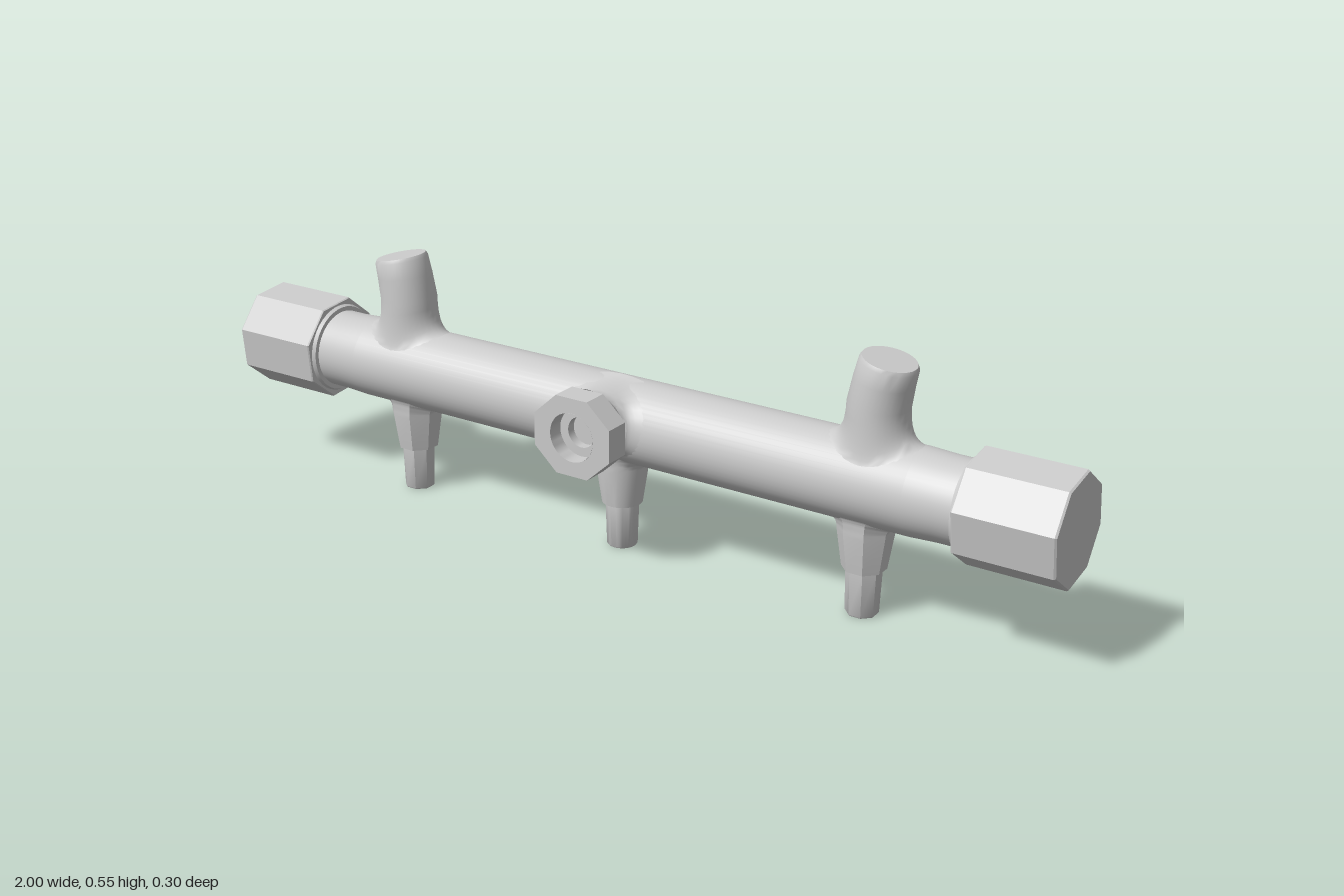
import * as THREE from 'three';
import { toCreasedNormals } from 'three/addons/utils/BufferGeometryUtils.js';

const AXIS_Y = 0.29, AXIS_Z = -0.035, PIPE_R = 0.09;
const smooth = new THREE.MeshStandardMaterial({ color: 0xcccccc, side: THREE.DoubleSide });
const faceted = new THREE.MeshStandardMaterial({ color: 0xcccccc, flatShading: true });

function part(name, geometry, material = smooth) {
  const mesh = new THREE.Mesh(geometry, material);
  mesh.name = name;
  return mesh;
}

// Height of the pipe surface above its axis at sideways offset z
const saddle = z => Math.sqrt(Math.max(0, (PIPE_R - 0.001) ** 2 - z * z));

// Branch growing along +y out of a pipe lying on x: a fillet from the pipe
// surface up to the first ring, then a loft through rings [x, y, radius, tilt].
function branch(rings, { sides = 32, skirtX, skirtZ, z0 = 0 }) {
  const phase = sides === 8 ? Math.PI / 8 : 0, steps = 7, rows = [];
  const ringPoint = ([x, y, r, tilt = 0], a) => new THREE.Vector3(
    x + r * Math.cos(a) * Math.cos(tilt), y - r * Math.cos(a) * Math.sin(tilt), z0 + r * Math.sin(a));
  for (let i = 0; i < steps; i++) {
    rows.push(a => {
      const neck = ringPoint(rings[0], a);
      const zo = z0 + skirtZ * Math.sin(a);
      const foot = new THREE.Vector3(rings[0][0] + skirtX * Math.cos(a), saddle(zo), zo);
      const corner = new THREE.Vector3(neck.x, saddle(neck.z), neck.z);
      return new THREE.QuadraticBezierCurve3(foot, corner, neck).getPoint(i / steps);
    });
  }
  rings.forEach(ring => rows.push(a => ringPoint(ring, a)));

  const positions = [], index = [];
  rows.forEach((row, j) => {
    for (let i = 0; i < sides; i++) {
      positions.push(...row(phase + (i / sides) * Math.PI * 2).toArray());
      if (j === rows.length - 1) continue;
      const a = j * sides + i, b = j * sides + (i + 1) % sides;
      index.push(a, a + sides, b, b, a + sides, b + sides);
    }
  });
  const geometry = new THREE.BufferGeometry();
  geometry.setAttribute('position', new THREE.Float32BufferAttribute(positions, 3));
  geometry.setIndex(index);
  return toCreasedNormals(geometry, 0.6);
}

function lathe(points, sides, start = 0) {
  return new THREE.LatheGeometry(points.map(p => new THREE.Vector2(...p)), sides, start);
}

export function createModel() {
  const model = new THREE.Group();
  const manifold = new THREE.Group();
  manifold.name = 'manifold';
  manifold.position.set(0, AXIS_Y, AXIS_Z);
  model.add(manifold);

  // Main pipe, slightly narrowed at both ends
  const pipe = lathe([[0.087, -0.82], [0.087, -0.74], [PIPE_R, -0.68],
    [PIPE_R, 0.68], [0.087, 0.74], [0.087, 0.82]], 48);
  manifold.add(part('mainPipe', pipe.rotateZ(-Math.PI / 2)));

  for (const side of [1, -1]) {
    const label = side > 0 ? 'left' : 'right';

    // Octagonal end cap with a low round collar on its inner face
    const start = THREE.MathUtils.degToRad(side > 0 ? -13.5 : 17);
    const cap = lathe([[0, 0.792], [0.114, 0.792], [0.116, 0.795],
      [0.116, 0.996], [0.113, 1], [0, 1]], 8, start);
    manifold.add(part(label + 'EndCap', cap.rotateZ(-side * Math.PI / 2), faceted));
    const collar = toCreasedNormals(lathe([[0.087, 0.784], [0.097, 0.784], [0.101, 0.793]], 40), 0.5);
    manifold.add(part(label + 'Collar', collar.rotateZ(-side * Math.PI / 2)));

    // Upper outlet leaning outward, with a bevelled slanted top
    const outlet = branch([[0.582 * side, 0.16, 0.0625, 0.06 * side],
      [0.591 * side, 0.21, 0.0605, 0.14 * side], [0.599 * side, 0.245, 0.059, 0.2 * side],
      [0.6 * side, 0.253, 0.055, 0.2 * side], [0.6 * side, 0.253, 0, 0.2 * side]],
    { skirtX: 0.105, skirtZ: 0.075 });
    manifold.add(part(label + 'UpperOutlet', outlet));
  }

  // Lower stepped nozzles: faceted outside, round in the middle
  for (const [name, x, sides] of [['left', 0.568, 8], ['middle', -0.01, 32], ['right', -0.572, 8]]) {
    const k = sides === 8 ? 1.04 : 1;
    const nozzle = branch([[0, 0.108, 0.056 * k], [0, 0.19, 0.044 * k], [0, 0.192, 0.036 * k],
      [0, 0.287, 0.033 * k], [0, 0.29, 0.031 * k], [0, 0.29, 0]],
    { sides, skirtX: 0.078, skirtZ: 0.065 });
    const mesh = part(name + 'LowerNozzle', nozzle);
    mesh.rotation.x = Math.PI;
    mesh.position.x = x;
    manifold.add(mesh);
  }

  // Front port: flared neck, octagonal nut and stepped bore
  const neck = part('frontPortNeck', branch([[0, 0.1, 0.07], [0, 0.112, 0.077], [0, 0.128, 0.087]],
    { skirtX: 0.14, skirtZ: 0.082, z0: -0.015 }));
  neck.rotation.x = Math.PI / 2;
  neck.position.x = -0.01;
  manifold.add(neck);

  const octagon = new THREE.Shape();
  for (let i = 0; i < 8; i++) {
    const a = (i + 0.5) * Math.PI / 4;
    octagon[i ? 'lineTo' : 'moveTo'](0.1 * Math.cos(a), 0.092 * Math.sin(a));
  }
  octagon.closePath();
  octagon.holes.push(new THREE.Path().absarc(0, 0, 0.053, 0, Math.PI * 2, true));
  const nut = part('frontPortNut', new THREE.ExtrudeGeometry(octagon,
    { depth: 0.058, bevelEnabled: false, curveSegments: 32 }));
  nut.position.set(-0.01, 0.015, 0.127);
  manifold.add(nut);

  const bore = toCreasedNormals(lathe([[0.0528, 0.185], [0.0528, 0.15], [0.033, 0.15],
    [0.033, 0.13], [0, 0.13]], 32), 0.5);
  const boreMesh = part('frontPortBore', bore.rotateX(Math.PI / 2));
  boreMesh.position.set(-0.01, 0.015, 0);
  manifold.add(boreMesh);

  return model;
}
